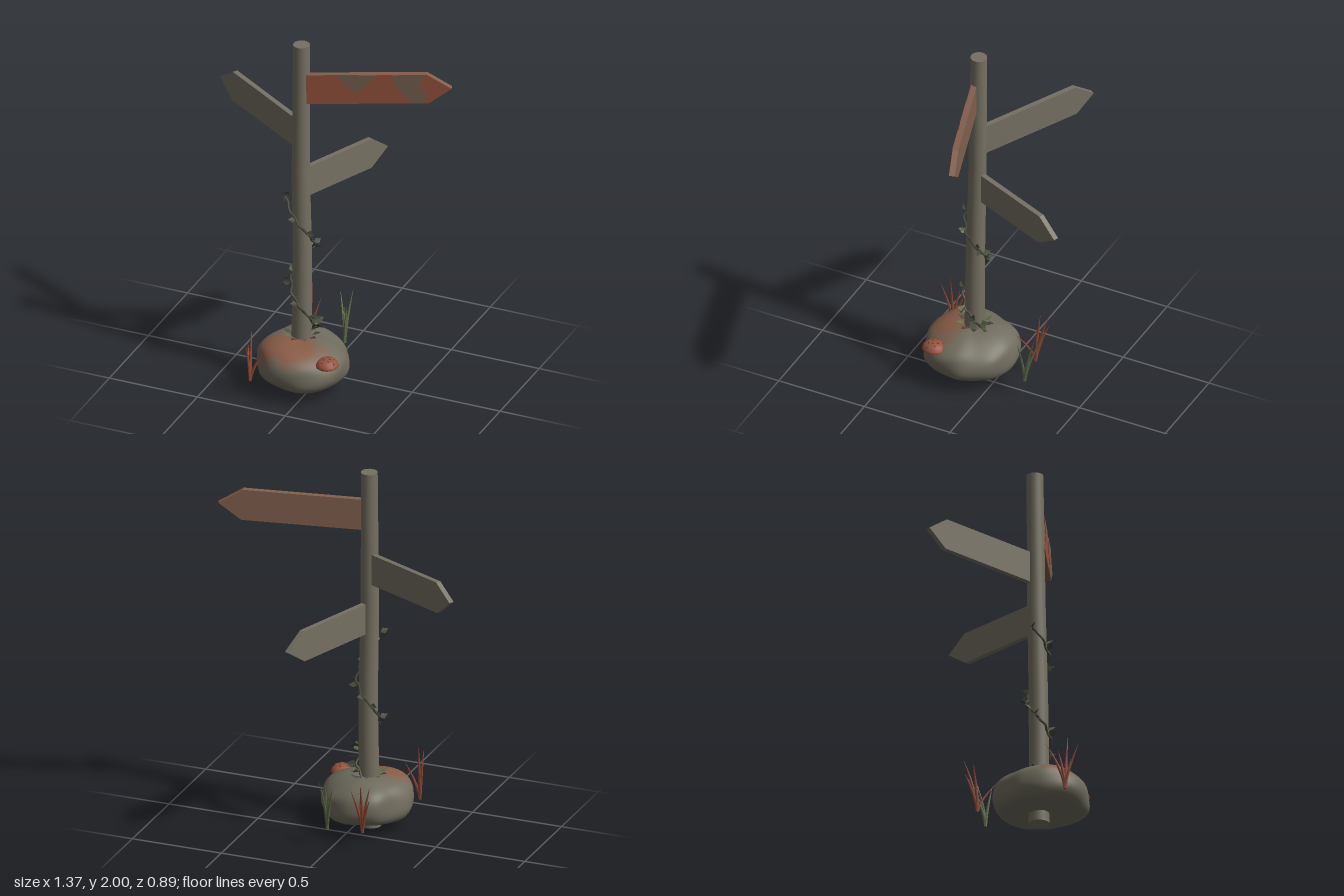
import * as THREE from 'three';
import { mergeVertices } from 'three/addons/utils/BufferGeometryUtils.js';

const mat = (name, color, side = THREE.FrontSide) => {
  const m = new THREE.MeshStandardMaterial({ color, side });
  m.name = name;
  return m;
};
const V = (x, y, z) => new THREE.Vector3(x, y, z);

export function createModel() {
  const wood = mat('weathered wood', 0x757062);
  const stone = mat('stone', 0x6f6b5d);
  const stoneRust = mat('stained stone', 0x7b6452);
  const rust = mat('rust stain', 0x885c46);
  const red = mat('red paint', 0x96523d);
  const brown = mat('faded red wood', 0x82604f);
  const worn = mat('worn paint', 0x75604f);
  const green = mat('green leaf', 0x5f6a48, THREE.DoubleSide);
  const dark = mat('dark vine', 0x45463a, THREE.DoubleSide);
  const dryRed = mat('dry red grass', 0x8f4a38, THREE.DoubleSide);

  const model = new THREE.Group();
  model.name = 'signpost';
  const add = (geo, material, name, parent = model) => {
    const m = new THREE.Mesh(geo, material);
    m.name = name;
    parent.add(m);
    return m;
  };

  // Post: slightly leaning and tapering
  const postAt = y => V(-0.074 + 0.012 * Math.sin(Math.PI * Math.min(y / 1.2, 1)), y, 0.148 - 0.0115 * y);
  const postGeo = new THREE.CylinderGeometry(0.044, 0.055, 2, 20, 16).translate(0, 1, 0);
  const pp = postGeo.attributes.position;
  for (let i = 0; i < pp.count; i++) {
    const c = postAt(pp.getY(i));
    pp.setX(i, pp.getX(i) + c.x);
    pp.setZ(i, pp.getZ(i) + c.z);
  }
  add(postGeo, wood, 'post');

  // Arrow boards
  const arrow = (body, length, h = 0.085) => new THREE.Shape([
    [0, -h], [body, -h], [length, 0], [body, h], [0, h]].map(p => new THREE.Vector2(...p)));
  const plate = (shape, depth, z) =>
    new THREE.ExtrudeGeometry(shape, { depth, bevelEnabled: false }).translate(0, 0, z);
  const T = 0.028;
  const sign = (name, material, pos, turn, tilt, body, length) => {
    const g = new THREE.Group();
    g.name = name;
    g.position.set(...pos);
    g.rotation.set(0, turn, tilt);
    add(plate(arrow(body, length), T, -T / 2), material, 'board', g);
    model.add(g);
    return g;
  };
  const top = sign('topSign', brown, [-0.05, 1.753, 0.138], 0.319, 0.06, 0.645, 0.77);
  sign('middleSign', wood, [-0.09, 1.462, 0.115], Math.PI - 0.524, 0.055, 0.575, 0.685);
  sign('lowerSign', wood, [-0.062, 1.182, 0.108], 1.195, -0.027, 0.475, 0.593);

  // Red painted face with worn patches
  add(plate(arrow(0.645, 0.77), 0.003, T / 2), red, 'paintedFace', top);
  [
    [[0.175, 0.084], [0.205, 0.035], [0.25, -0.012], [0.285, -0.015], [0.325, 0.025], [0.345, 0.05], [0.385, 0.084]],
    [[0.46, 0.084], [0.475, 0.02], [0.53, -0.05], [0.56, -0.084], [0.62, -0.084], [0.635, -0.03], [0.6, 0.03], [0.64, 0.084]],
  ].forEach(pts => add(
    plate(new THREE.Shape(pts.map(p => new THREE.Vector2(...p))), 0.002, T / 2 + 0.003), worn, 'wornPatch', top));

  // Boulder: a lathe pushed out to an uneven outline
  const profile = new THREE.SplineCurve([[0, 0.056], [0.55, 0.058], [0.87, 0.074], [1, 0.12], [0.99, 0.18],
    [0.9, 0.225], [0.7, 0.26], [0.4, 0.283], [0, 0.288]].map(p => new THREE.Vector2(...p))).getPoints(30);
  profile[0].x = profile[30].x = 0;
  const radii = [0.24, 0.252, 0.25, 0.25, 0.252, 0.25, 0.245, 0.228, 0.25, 0.245, 0.236, 0.226];
  const outline = a => {
    const t = ((a / (2 * Math.PI) + 1) % 1) * 12, i = Math.floor(t), f = t - i;
    return THREE.MathUtils.lerp(radii[i % 12], radii[(i + 1) % 12], f * f * (3 - 2 * f));
  };
  let rock = new THREE.LatheGeometry(profile, 72);
  rock.deleteAttribute('uv');
  rock.deleteAttribute('normal');
  const rp = rock.attributes.position;
  for (let i = 0; i < rp.count; i++) {
    const x = rp.getX(i), y = rp.getY(i), z = rp.getZ(i), s = Math.hypot(x, z);
    const a = Math.atan2(z, x);
    const r = outline(a) * (1 + 0.018 * Math.sin(5 * a + 30 * y) * s);
    const lump = 0.008 * s * Math.sin(3 * a + 1) - 0.022 * x * s * (y > 0.15 ? (y - 0.15) / 0.1 : 0);
    rp.setXYZ(i, -0.045 + x * r, y + lump, 0.15 + z * r);
  }
  rock = mergeVertices(rock, 1e-4);
  rock.computeVertexNormals();
  // Sort faces by how close they lie to the stain
  const buckets = [[], [], []], q = rock.attributes.position, idx = rock.index.array;
  for (let i = 0; i < idx.length; i += 3) {
    const tri = [idx[i], idx[i + 1], idx[i + 2]];
    const c = V(0, 0, 0);
    tri.forEach(k => c.add(V(q.getX(k), q.getY(k), q.getZ(k))));
    c.divideScalar(3);
    const d = Math.hypot((c.x + 0.08) / 0.17, (c.y - 0.26) / 0.08, (c.z - 0.27) / 0.11)
      + 0.1 * Math.sin(40 * c.x);
    buckets[d < 0.9 ? 0 : d < 1.25 ? 1 : 2].push(...tri);
  }
  rock.setIndex(buckets.flat());
  let start = 0;
  buckets.forEach((b, i) => {
    rock.addGroup(start, b.length, i);
    start += b.length;
  });
  add(rock, [rust, stoneRust, stone], 'boulder');

  // Shelf fungus with dark spots
  const fungus = new THREE.Group();
  fungus.name = 'fungus';
  fungus.position.set(0.14, 0.212, 0.277);
  const cap = [[0, 0], [0.9, 0], [1, 0.12], [0.95, 0.42], [0.72, 0.78], [0.4, 0.95], [0, 1]];
  add(new THREE.LatheGeometry(cap.map(p => new THREE.Vector2(...p)), 20), red, 'fungusCap', fungus)
    .scale.set(0.06, 0.045, 0.064);
  for (let i = 0; i < 9; i++) {
    const a = i * 2.4, r = 0.25 + 0.065 * i;
    const y = r < 0.4 ? 0.97 : 0.95 - (r - 0.4) * 0.72;
    add(new THREE.SphereGeometry(0.005, 8, 6), dark, 'fungusSpot', fungus)
      .position.set(0.06 * r * Math.cos(a), 0.045 * y - 0.001, 0.064 * r * Math.sin(a));
  }
  model.add(fungus);

  // Grass tufts: each blade is a thin cone bent outwards to its tip
  const blade = (base, tip, material, parent) => {
    const g = new THREE.ConeGeometry(0.014, 1, 4, 6).translate(0, 0.5, 0);
    const p = g.attributes.position;
    for (let i = 0; i < p.count; i++) {
      const t = p.getY(i), b = Math.pow(t, 1.5), w = 0.6 + t;
      p.setXYZ(i, p.getX(i) * w + base[0] + (tip[0] - base[0]) * b,
        base[1] + (tip[1] - base[1]) * t,
        p.getZ(i) * w + base[2] + (tip[2] - base[2]) * b);
    }
    g.computeVertexNormals();
    add(g, material, 'blade', parent);
  };
  const tuft = (name, base, material, tips) => {
    const g = new THREE.Group();
    g.name = name;
    tips.forEach(t => blade(base, t, material, g));
    model.add(g);
  };
  tuft('frontGrass', [-0.258, 0.085, 0.37], dryRed,
    [[-0.25, 0.34, 0.445], [-0.29, 0.35, 0.27], [-0.17, 0.29, 0.366], [-0.245, 0.385, 0.38], [-0.285, 0.3, 0.34]]);
  tuft('backGrass', [-0.155, 0.09, -0.165], dryRed,
    [[-0.215, 0.3, -0.215], [-0.172, 0.39, -0.235], [-0.1, 0.34, -0.2], [-0.098, 0.27, -0.07], [-0.2, 0.36, -0.17]]);
  tuft('greenGrass', [0.03, 0.09, -0.195], green,
    [[-0.03, 0.36, -0.272], [0.05, 0.39, -0.265], [0.055, 0.33, -0.165], [0.015, 0.3, -0.225]]);

  // Vine winding up the post
  const vineAt = (y, r) => {
    const a = (y - 0.38) / 0.48 * 2 * Math.PI, c = postAt(y);
    return V(c.x + r * Math.cos(a), y, c.z + r * Math.sin(a));
  };
  const pts = [];
  for (let i = 0; i <= 40; i++) {
    const y = 0.26 + i * 0.02075;
    pts.push(vineAt(y, 0.06 + 0.008 * Math.sin(i * 1.9) + (i > 37 ? 0.008 * (i - 37) : 0)));
  }
  add(new THREE.TubeGeometry(new THREE.CatmullRomCurve3(pts), 120, 0.0065, 6), dark, 'vine');

  // Vine leaves: folded diamonds pointing outwards
  const leafGeo = new THREE.BufferGeometry();
  leafGeo.setAttribute('position', new THREE.Float32BufferAttribute([
    0, 0, 0, 0.42, 0.12, 0.36, 1, 0, 0, 0, 0, 0, 1, 0, 0, 0.42, 0.12, -0.36], 3));
  leafGeo.computeVertexNormals();
  const leaves = [0.29, 0.31, 0.34, 0.37, 0.4, 0.42, 0.5, 0.52, 0.59, 0.61, 0.64, 0.7, 0.74,
    0.77, 0.8, 0.83, 0.9, 0.92, 0.99, 1.01, 1.08, 1.1];
  leaves.forEach((y, i) => {
    const leaf = add(leafGeo, i % 3 === 1 ? green : dark, 'leaf');
    const a = (y - 0.38) / 0.48 * 2 * Math.PI;
    leaf.position.copy(vineAt(y, 0.062));
    leaf.rotation.set((i % 2 ? 0.8 : -0.7), -a + (i % 2 ? 0.7 : -0.6), 0.35 * Math.sin(i * 2.1) + 0.3, 'YZX');
    leaf.scale.setScalar(y < 0.45 ? 0.065 : 0.048);
  });
  // Leaf ring at the foot of the post
  for (let i = 0; i < 9; i++) {
    const a = i / 9 * 2 * Math.PI + 0.3, c = postAt(0.29);
    const leaf = add(leafGeo, i % 2 ? green : dark, 'footLeaf');
    leaf.position.set(c.x + 0.055 * Math.cos(a), 0.288, c.z + 0.055 * Math.sin(a));
    leaf.rotation.set(0, -a, 0.3, 'YZX');
    leaf.scale.setScalar(0.05);
  }
  return model;
}
